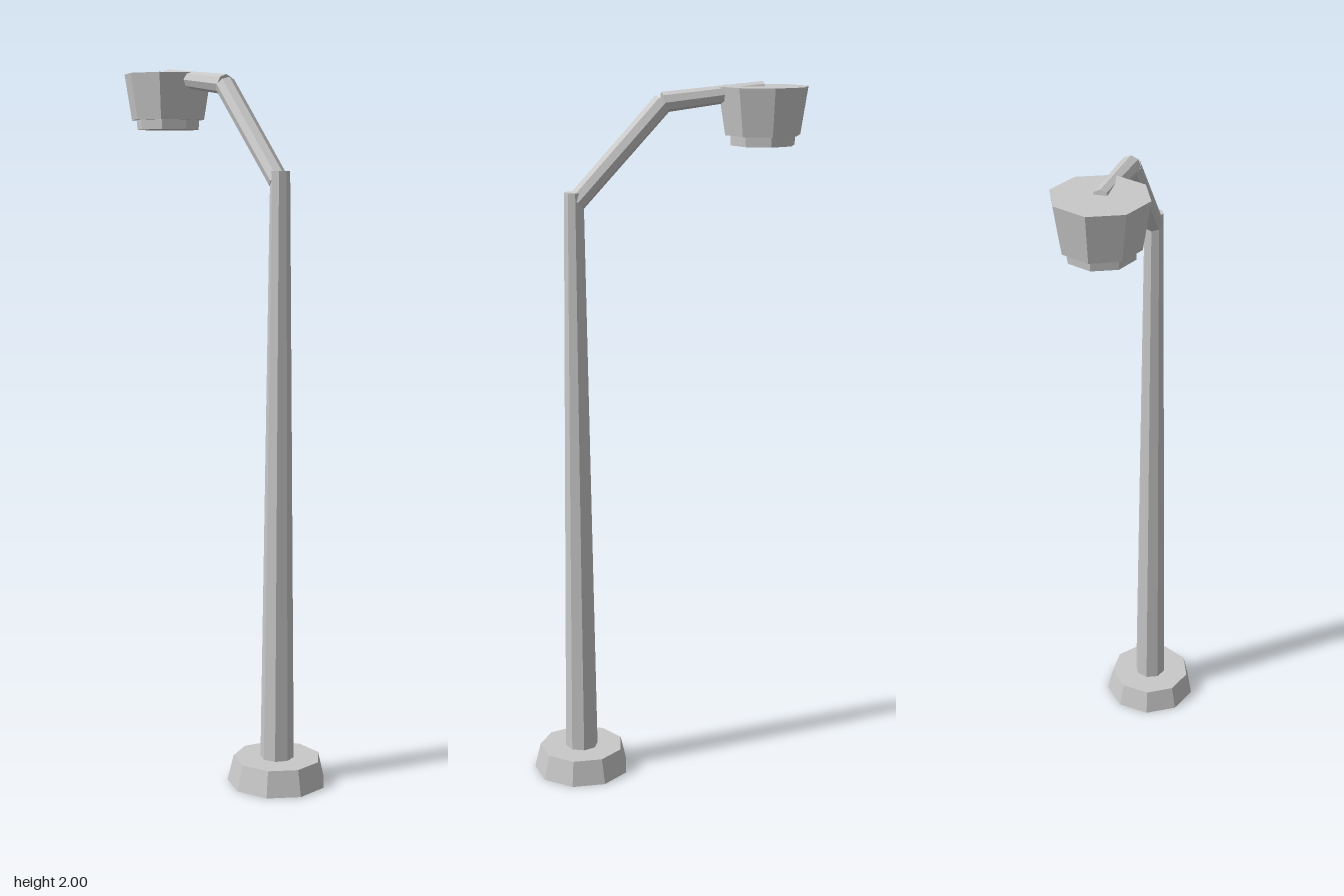
import * as THREE from 'three';

export function createModel() {
  const group = new THREE.Group();
  group.name = 'streetLamp';
  const metal = new THREE.MeshStandardMaterial({ color: 0xc8c8c8, flatShading: true });
  metal.name = 'light grey metal';

  const Z = -0.005; // shared centre line of every part
  const UP = new THREE.Vector3(0, 1, 0);

  // Faceted tapered rod between two points in the x-y plane
  function rod(name, [x0, y0], [x1, y1], r0, r1, sides = 8) {
    const a = new THREE.Vector3(x0, y0, Z);
    const b = new THREE.Vector3(x1, y1, Z);
    const dir = b.clone().sub(a);
    const mesh = new THREE.Mesh(new THREE.CylinderGeometry(r1, r0, dir.length(), sides), metal);
    mesh.name = name;
    mesh.position.copy(a).lerp(b, 0.5);
    mesh.quaternion.setFromUnitVectors(UP, dir.normalize());
    group.add(mesh);
  }

  // Foot and upright
  rod('base', [0.259, 0], [0.259, 0.072], 0.14, 0.123, 9);
  rod('pole', [0.259, 0.02], [0.259, 1.708], 0.048, 0.027);

  // Bent arm
  rod('lowerArm', [0.252, 1.682], [0.01, 1.946], 0.028, 0.029);
  rod('upperArm', [0.012, 1.946], [-0.27, 1.978], 0.028, 0.022);

  // Lamp head with its inset lens below
  rod('lampHousing', [-0.27, 1.855], [-0.27, 1.986], 0.107, 0.128);
  rod('lampLens', [-0.27, 1.827], [-0.27, 1.87], 0.091, 0.093);

  return group;
}
